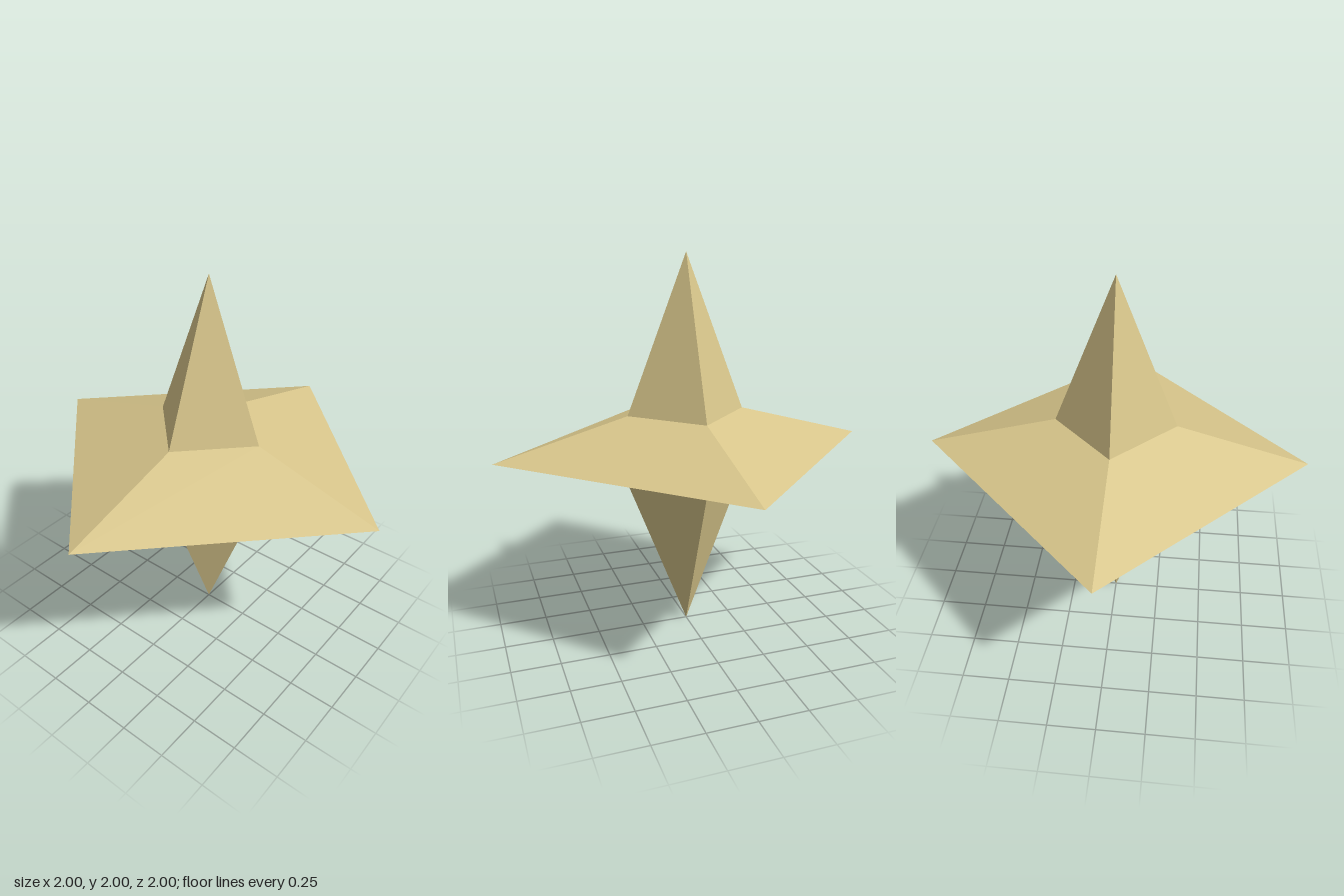
import * as THREE from 'three';

export function createModel() {
  const group = new THREE.Group();
  const sand = new THREE.MeshStandardMaterial({ color: 0xd8c68b, flatShading: true });
  sand.name = 'sand';

  const collar = 0.315; // corner radius where the spikes meet the disc
  const rise = 0.19;    // half height of the square disc

  // Four-sided section with its corners on the x and z axes
  const addSection = (name, topRadius, bottomRadius, y0, y1) => {
    const geometry = new THREE.CylinderGeometry(topRadius, bottomRadius, y1 - y0, 4, 1, true);
    const mesh = new THREE.Mesh(geometry, sand);
    mesh.name = name;
    mesh.position.y = (y0 + y1) / 2;
    group.add(mesh);
  };

  addSection('upperSpike', 0, collar, 1 + rise, 2);
  addSection('upperDisc', collar, 1, 1, 1 + rise);
  addSection('lowerDisc', 1, collar, 1 - rise, 1);
  addSection('lowerSpike', collar, 0, 0, 1 - rise);

  group.name = 'fourPointedStar';
  return group;
}
